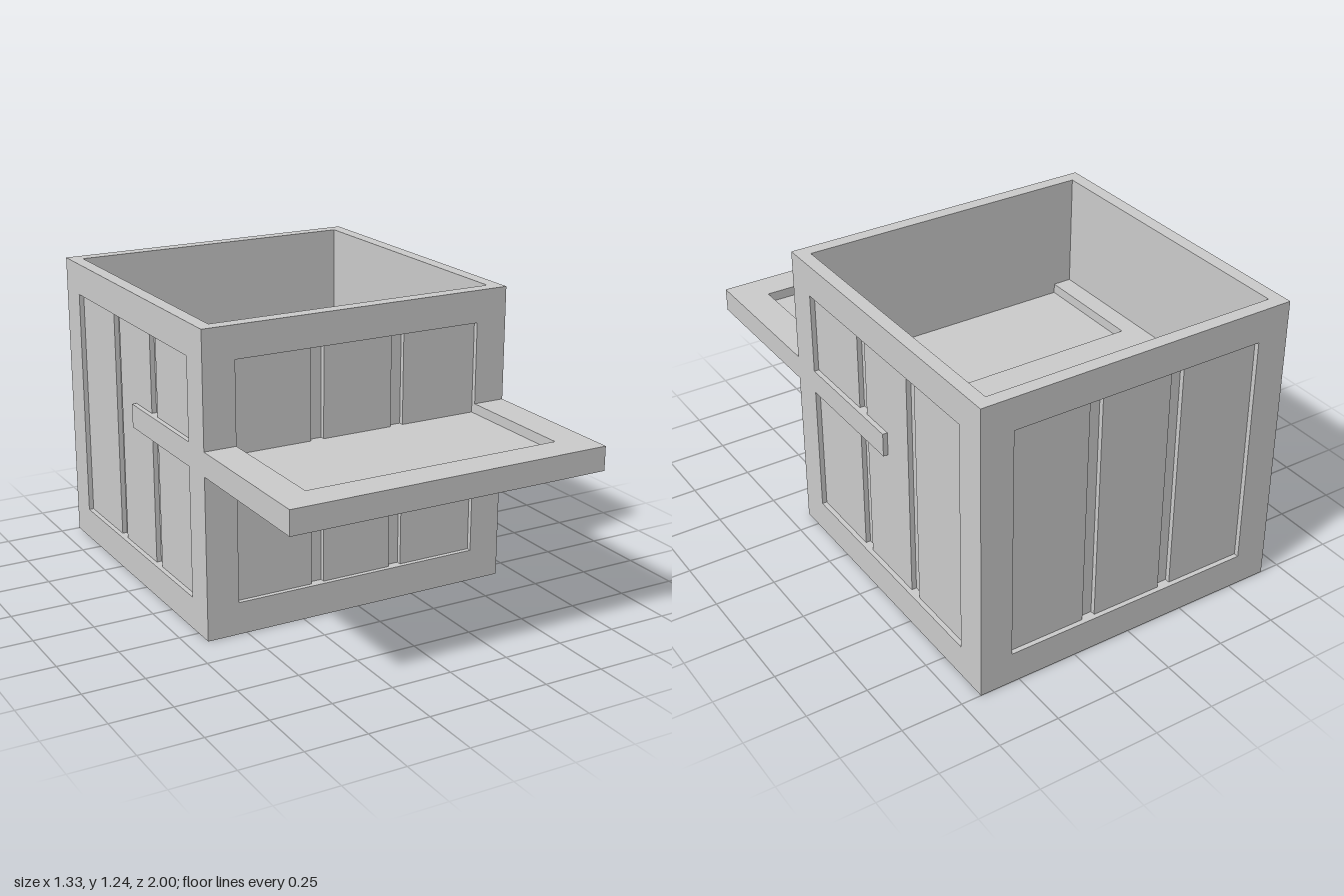
import * as THREE from 'three';

const HALF = 0.667;      // half width of the crate
const HEIGHT = 1.235;
const INNER = 0.612;     // half width of the cavity
const FRAME = 0.04;      // depth of the raised frames
const OPEN = 0.533;      // half width of every framed opening
const CRATE_Z = -0.333;

const material = new THREE.MeshStandardMaterial({ color: 0xcccccc, flatShading: true });

function add(parent, name, geometry, x = 0, y = 0, z = 0) {
  const mesh = new THREE.Mesh(geometry, material);
  mesh.name = name;
  mesh.position.set(x, y, z);
  parent.add(mesh);
  return mesh;
}

function rect(Type, x0, y0, x1, y1) {
  return new Type([[x0, y0], [x1, y0], [x1, y1], [x0, y1]].map(p => new THREE.Vector2(...p)));
}

// Rectangular frame in the XY plane, extruded along +z
function frameGeometry(outer, hole, depth) {
  const shape = rect(THREE.Shape, ...outer);
  shape.holes.push(rect(THREE.Path, ...hole));
  return new THREE.ExtrudeGeometry(shape, { depth, bevelEnabled: false });
}

// The same frame laid flat, rising along +y
function flatFrame(half, hole, depth) {
  return frameGeometry([-half, -half, half, half], [-hole, -hole, hole, hole], depth).rotateX(-Math.PI / 2);
}

// One outer face: raised frame and three planks separated by deeper grooves
function createSide(name, halfWidth) {
  const side = new THREE.Group();
  side.name = name;
  const y0 = 0.133, y1 = 1.103;
  add(side, 'wallFrame',
    frameGeometry([-halfWidth, 0, halfWidth, HEIGHT], [-OPEN, y0, OPEN, y1], FRAME), 0, 0, HALF - FRAME);
  for (const [a, b] of [[-OPEN, -0.205], [-0.15, 0.15], [0.205, OPEN]]) {
    add(side, 'plank', new THREE.BoxGeometry(b - a, y1 - y0, 0.02), (a + b) / 2, (y0 + y1) / 2, HALF - 0.03);
  }
  return side;
}

export function createModel() {
  const model = new THREE.Group();
  model.name = 'crate';

  const body = new THREE.Group();
  body.name = 'crateBody';
  body.position.z = CRATE_Z;
  model.add(body);

  // Inner shell behind the planks
  add(body, 'innerShell', flatFrame(HALF - FRAME, INNER, HEIGHT));

  // Four framed sides
  ['frontSide', 'leftSide', 'backSide', 'rightSide'].forEach((name, i) => {
    const side = createSide(name, i % 2 ? HALF - FRAME : HALF);
    side.rotation.y = i * Math.PI / 2;
    body.add(side);
  });

  // Floor with a recessed underside
  add(body, 'bottomFrame', flatFrame(INNER, OPEN, FRAME));
  add(body, 'floor', new THREE.BoxGeometry(INNER * 2, 0.06, INNER * 2), 0, FRAME + 0.03, 0);

  // Lid slid halfway through the front, with a recessed top
  const lid = new THREE.Group();
  lid.name = 'lid';
  lid.position.set(0, 0.67, -CRATE_Z);
  model.add(lid);
  add(lid, 'lidPanel', new THREE.BoxGeometry(HALF * 2, 0.058, HALF * 2), 0, 0.029, 0);
  add(lid, 'lidFrame', flatFrame(HALF, OPEN, FRAME), 0, 0.058, 0);

  return model;
}
